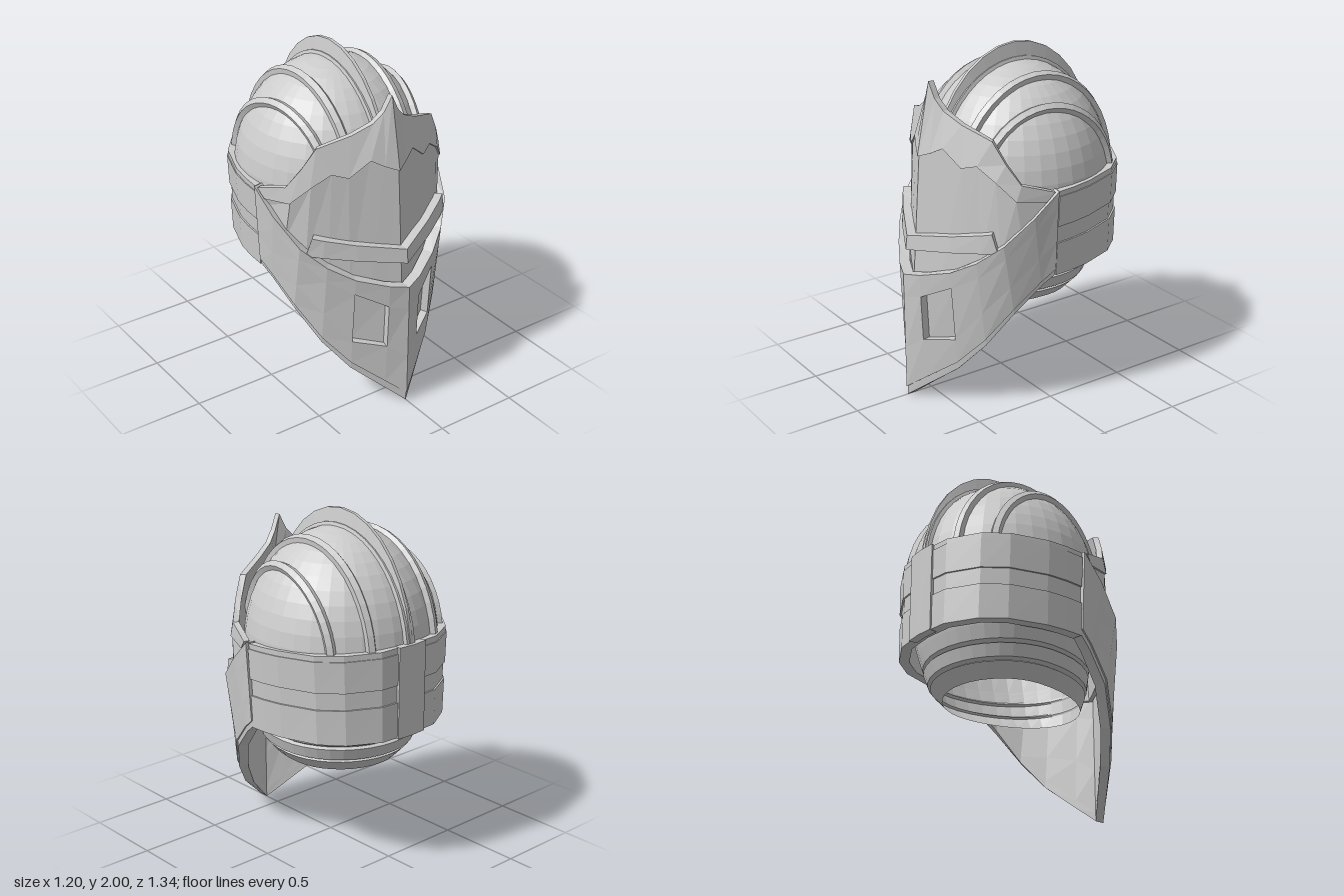
import * as THREE from 'three';

const CY = 1.25, CZ = -0.09; // centre of the skull
const RX = 0.56, RY = 0.65, RZ = 0.545;
const material = new THREE.MeshStandardMaterial({ color: 0xcccccc, flatShading: true, side: THREE.DoubleSide });
const V = (x, y, z) => new THREE.Vector3(x, y, z);

function meshFromQuads(name, quads) {
  const pos = [];
  for (const [a, b, c, d] of quads) for (const p of [a, b, c, a, c, d]) pos.push(p.x, p.y, p.z);
  const geo = new THREE.BufferGeometry();
  geo.setAttribute('position', new THREE.Float32BufferAttribute(pos, 3));
  geo.computeVertexNormals();
  const mesh = new THREE.Mesh(geo, material);
  mesh.name = name;
  return mesh;
}

// Columns from the centre line outwards become a full symmetric row of columns.
function mirrored(half) {
  const other = half.slice(1).reverse().map(col => col.map(p => V(-p.x, p.y, p.z)));
  return [...other, ...half];
}

// Thick plate from columns of points; depth(i, j) sinks or raises single cells.
function shell(name, cols, thickness, depth = () => 0) {
  const nI = cols.length - 1, nJ = cols[0].length - 1, quads = [];
  const level = (i, j) => (i < 0 || j < 0 || i >= nI || j >= nJ ? thickness : depth(i, j));
  const sink = (p, d) => p.clone().addScaledVector(V(-p.x, 0, CZ - p.z).normalize(), d);
  for (let i = 0; i < nI; i++) for (let j = 0; j < nJ; j++) {
    const c = [cols[i][j], cols[i + 1][j], cols[i + 1][j + 1], cols[i][j + 1]];
    const d = level(i, j);
    quads.push(c.map(p => sink(p, d)));
    quads.push(c.map(p => sink(p, thickness)).reverse());
    const near = [level(i, j - 1), level(i + 1, j), level(i, j + 1), level(i - 1, j)];
    near.forEach((n, k) => {
      const p = c[k], q = c[(k + 1) % 4];
      if (n > d) quads.push([sink(p, n), sink(q, n), sink(q, d), sink(p, d)]);
    });
  }
  return meshFromQuads(name, quads);
}

// Closed strip from a loop of four-point rings.
function strip(name, rings) {
  const quads = [];
  for (let i = 0; i < rings.length - 1; i++) for (let k = 0; k < 4; k++) {
    const m = (k + 1) % 4;
    quads.push([rings[i][k], rings[i][m], rings[i + 1][m], rings[i + 1][k]]);
  }
  return meshFromQuads(name, quads);
}

// Rib standing square on the skull, drawing inwards by lean and curl towards the front.
function rib(name, x0, lean, curl, height, wBase, wTop) {
  const rings = [], N = 20;
  for (let i = 0; i <= N; i++) {
    const a = 0.2 + (Math.PI - 0.2) * i / N, c = Math.cos(a), s = Math.sin(a);
    const x = x0 * (1 - lean * c - curl * c * c);
    const f = Math.sqrt(1 - (x / RX) ** 2);
    const p = V(x, RY * f * s, RZ * f * c);
    const n = V(p.x / RX ** 2, p.y / RY ** 2, p.z / RZ ** 2).normalize();
    const side = V(0, RY * c, -RZ * s).cross(n).normalize();
    const at = (w, h) => V(p.x, p.y + CY, p.z + CZ).addScaledVector(side, w).addScaledVector(n, h);
    rings.push([at(-wBase, -0.015), at(-wTop, height), at(wTop, height), at(wBase, -0.015)]);
  }
  return strip(name, rings);
}

// Tall blade over the middle of the skull, sinking into it at the back.
function crest() {
  const rings = [], N = 16;
  for (let i = 0; i <= N; i++) {
    const a = Math.PI * i / N, c = Math.cos(a), s = Math.sin(a);
    const low = [CY + (RY - 0.03) * s, CZ + (RZ - 0.03) * c];
    const high = [CY + (RY + 0.1) * s, CZ + (RZ + 0.02) * c];
    rings.push([V(-0.032, ...low), V(-0.01, ...high), V(0.01, ...high), V(0.032, ...low)]);
  }
  return strip('crest', rings);
}

export function createModel() {
  const group = new THREE.Group();

  // Skull with stepped neck rings, open at the bottom, its throat dropping straight down
  const profile = [[0.33, 0.565], [0.4, 0.64], [0.385, 0.65], [0.415, 0.66], [0.44, 0.73], [0.42, 0.74],
    [0.445, 0.755], [0.46, 0.8], [0.47, 0.83], [0.525, 1.02]].map(p => new THREE.Vector2(...p));
  for (let i = 0; i <= 12; i++) {
    const a = Math.PI / 2 * i / 12;
    profile.push(new THREE.Vector2(Math.max(0, RZ * Math.cos(a)), CY + RY * Math.sin(a)));
  }
  const skullGeo = new THREE.LatheGeometry(profile, 36);
  const pos = skullGeo.attributes.position;
  for (let i = 0; i < pos.count; i++) {
    const r = Math.hypot(pos.getX(i), pos.getZ(i));
    if (pos.getY(i) < CY && pos.getZ(i) > 0) pos.setZ(i, pos.getZ(i) * (0.15 * r + 0.85 * RZ) / r);
  }
  skullGeo.computeVertexNormals();
  const skull = new THREE.Mesh(skullGeo, material);
  skull.name = 'skull';
  skull.scale.x = RX / RZ;
  skull.position.z = CZ;
  group.add(skull);

  // Crest and ribs
  group.add(crest());
  group.add(rib('crestBase', 0, 0, 0, 0.018, 0.04, 0.03));
  for (const s of [-1, 1]) {
    group.add(rib('innerRib', s * 0.222, 0.08, 0.02, 0.026, 0.034, 0.018));
    group.add(rib('outerRib', s * 0.392, 0.13, 0.08, 0.026, 0.034, 0.018));
  }

  // Brow plate: lower edge, zigzag step, pointed upper edge
  const brow = [
    [V(0, 0.74, 0.6), V(0, 1.45, 0.55), V(0, 1.865, 0.47)],
    [V(0.08, 0.75, 0.56), V(0.07, 1.48, 0.515), V(0.045, 1.775, 0.46)],
    [V(0.16, 0.77, 0.52), V(0.14, 1.52, 0.478), V(0.1, 1.715, 0.44)],
    [V(0.26, 0.8, 0.465), V(0.25, 1.43, 0.435), V(0.21, 1.66, 0.4)],
    [V(0.36, 0.85, 0.4), V(0.33, 1.455, 0.388), V(0.385, 1.6, 0.325)],
    [V(0.46, 0.95, 0.325), V(0.43, 1.38, 0.335), V(0.455, 1.48, 0.285)],
    [V(0.53, 1.05, 0.23), V(0.515, 1.28, 0.26), V(0.52, 1.37, 0.23)],
    [V(0.57, 1.2, 0.06), V(0.57, 1.26, 0.1), V(0.585, 1.315, 0.055)],
  ];
  group.add(shell('browPlate', mirrored(brow), 0.025, (i, j) => (j === 1 ? -0.01 : 0)));

  // Brim above the eye slit
  const brim = [
    [V(0, 0.915, 0.65), V(0, 1.0, 0.64)],
    [V(0.25, 0.95, 0.52), V(0.25, 1.045, 0.51)],
    [V(0.41, 0.975, 0.42), V(0.4, 1.08, 0.42)],
    [V(0.485, 0.985, 0.36), V(0.455, 1.095, 0.38)],
  ];
  group.add(shell('eyeBrim', mirrored(brim), 0.09));

  // Face guard: lower and upper edge, with the two window heights; the lowest row is a set-back hem
  const guardEdges = [
    [V(0, 0, 0.67), V(0, 0.77, 0.67)],
    [V(0.105, 0.09, 0.6), V(0.105, 0.79, 0.63), 0.385, 0.655],
    [V(0.27, 0.23, 0.49), V(0.27, 0.84, 0.535), 0.42, 0.745],
    [V(0.4, 0.4, 0.385), V(0.4, 0.92, 0.445)],
    [V(0.5, 0.6, 0.26), V(0.51, 1.03, 0.34)],
    [V(0.55, 0.75, 0.11), V(0.575, 1.18, 0.18)],
    [V(0.572, 0.81, 0.03), V(0.6, 1.315, 0.035)],
  ];
  const guard = guardEdges.map(([lo, hi, y1, y2]) => {
    const t = y => (y - lo.y) / (hi.y - lo.y);
    const steps = y1 ? [0, 0.07, t(y1), t(y2), 1] : [0, 0.07, 0.4, 0.82, 1];
    return steps.map(k => lo.clone().lerp(hi, k));
  });
  const isWindow = (i, j) => j === 2 && (i === 4 || i === 7);
  group.add(shell('faceGuard', mirrored(guard), 0.065, (i, j) => (isWindow(i, j) ? 0.045 : j === 0 ? 0.008 : 0)));

  // Neck band around the back, in tiers, narrowing downwards
  const plan = [[0, -0.66], [-0.21, -0.642], [-0.395, -0.54], [-0.5, -0.415], [-0.575, -0.2], [-0.592, -0.08], [-0.594, 0.025]];
  const band = plan.map(([x, z], i) => {
    const k = i / (plan.length - 1);
    return [0.82 - 0.015 * k, 1.03 - 0.03 * k, 1.13 - 0.03 * k, 1.31 - 0.03 * k, 1.345 - 0.035 * k]
      .map(y => V(x * (1 - 0.09 * Math.max(0, 1.31 - y)), y, z));
  });
  group.add(shell('neckBand', mirrored(band), 0.06, (i, j) => [0, 0.01, 0, 0.006][j]));

  // Upright strip at the middle of the back
  const upright = [[0, -0.67], [-0.1, -0.662]].map(([x, z]) => [V(x, 0.815, z), V(x, 1.345, z)]);
  group.add(shell('backStrip', mirrored(upright), 0.05));

  return group;
}
